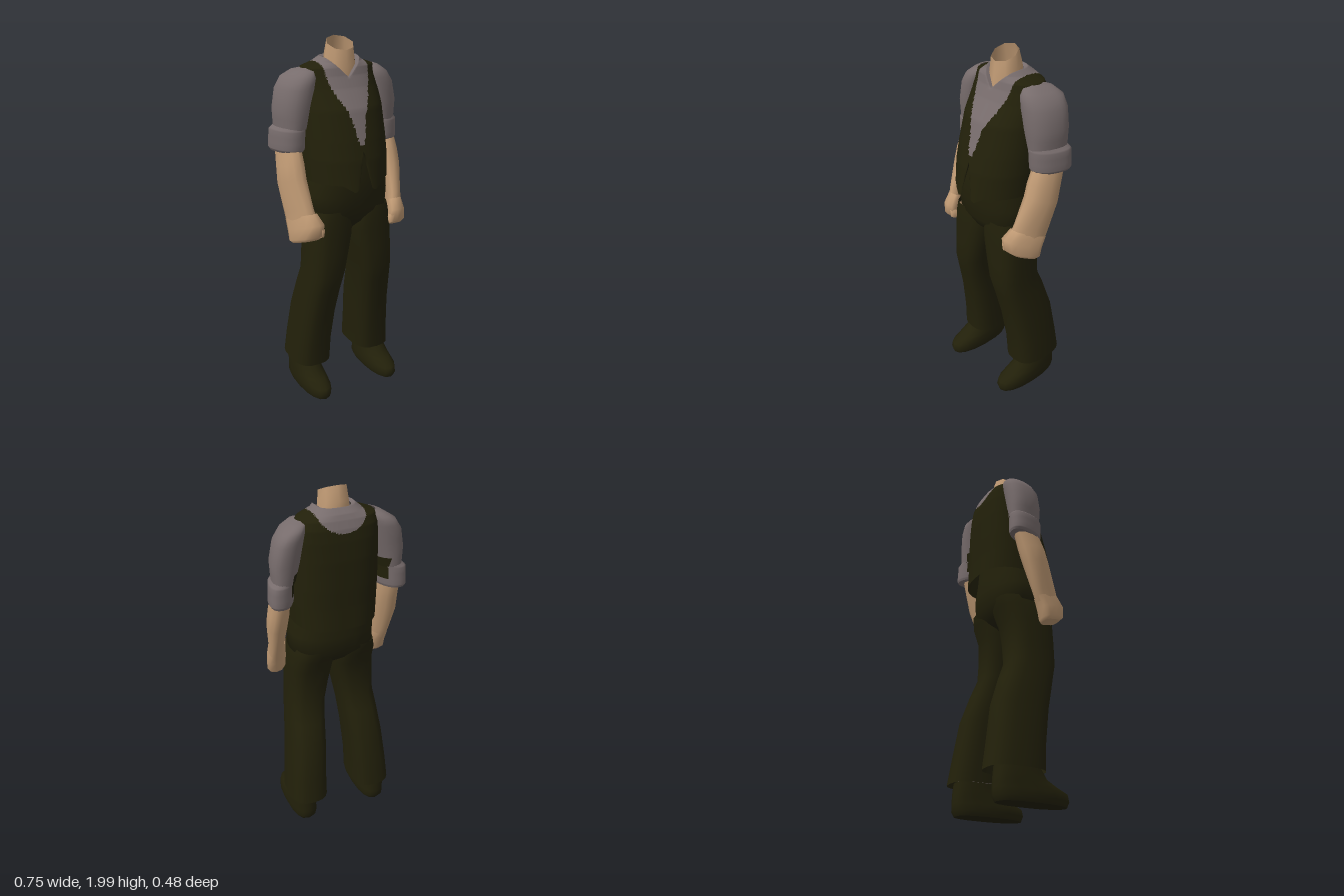
import * as THREE from 'three';

const mat = (name, color) => {
  const m = new THREE.MeshStandardMaterial({ color, side: THREE.DoubleSide });
  m.name = name;
  return m;
};

// Skin a stack of rings, lowest first:
// [y, xMin, xMax, zMin, zMax, slope of y along z, shift of x along z].
// power rounds or squares the rings, steps subdivides, adjust moves points in y and z,
// isSecond sends faces to the second material.
function loft(rings, { sides = 16, power = 2.3, frontPower = power, steps = 1, capBottom = false, capTop = false, adjust, isSecond } = {}) {
  const rows = [];
  rings.forEach((r, i) => {
    const next = rings[i + 1];
    if (!next) return rows.push(r);
    for (let s = 0; s < steps; s++) {
      rows.push([0, 1, 2, 3, 4, 5, 6].map(k => THREE.MathUtils.lerp(r[k] || 0, next[k] || 0, s / steps)));
    }
  });
  const pos = [];
  for (const [y, x0, x1, z0, z1, slope = 0, skew = 0] of rows) {
    for (let j = 0; j < sides; j++) {
      const a = (j / sides) * Math.PI * 2;
      const e = 2 / (Math.sin(a) > 0 ? frontPower : power);
      const squash = v => Math.sign(v) * Math.abs(v) ** e;
      const dz = squash(Math.sin(a)) * (z1 - z0) / 2;
      const x = (x0 + x1) / 2 + squash(Math.cos(a)) * (x1 - x0) / 2 + skew * dz;
      const z = (z0 + z1) / 2 + dz;
      const py = y + slope * dz;
      pos.push(x, ...(adjust ? adjust(x, py, z) : [py, z]));
    }
  }
  const lists = [[], []];
  const add = (...t) => {
    const mid = k => t.reduce((sum, v) => sum + pos[v * 3 + k], 0) / 3;
    lists[isSecond && isSecond(mid(0), mid(1), mid(2)) ? 1 : 0].push(...t);
  };
  for (let i = 0; i < rows.length - 1; i++) {
    for (let j = 0; j < sides; j++) {
      const k = (j + 1) % sides;
      const a = i * sides + j, b = i * sides + k, c = a + sides, d = b + sides;
      add(a, c, b);
      add(b, c, d);
    }
  }
  // Caps get their own points so the edge stays sharp
  const cap = (row, top) => {
    const base = pos.length / 3;
    const [y, x0, x1, z0, z1] = rows[row];
    pos.push(...pos.slice(row * sides * 3, (row + 1) * sides * 3));
    pos.push((x0 + x1) / 2, y, (z0 + z1) / 2);
    for (let j = 0; j < sides; j++) {
      const a = base + j, b = base + (j + 1) % sides;
      if (top) add(base + sides, b, a); else add(base + sides, a, b);
    }
  };
  if (capBottom) cap(0, false);
  if (capTop) cap(rows.length - 1, true);
  const g = new THREE.BufferGeometry();
  g.setAttribute('position', new THREE.Float32BufferAttribute(pos, 3));
  g.setIndex([...lists[0], ...lists[1]]);
  g.addGroup(0, lists[0].length, 0);
  g.addGroup(lists[0].length, lists[1].length, 1);
  g.computeVertexNormals();
  return g;
}

export function createModel() {
  const model = new THREE.Group();
  const cloth = mat('darkCloth', 0x22200a);
  const shirt = mat('greyShirt', 0x776c6c);
  const skin = mat('skin', 0xc09a74);

  // material is one material, or a pair when isSecond is given
  const part = (name, material, rings, options) => {
    const mesh = new THREE.Mesh(loft(rings, options), material);
    mesh.name = name;
    model.add(mesh);
  };
  // Ring symmetric about the middle
  const mid = (y, w, z0, z1, slope = 0) => [y, -w, w, z0, z1, slope];

  // Waistcoat with pointed hem, and the shirt showing at the neckline
  const neckline = [[1.48, 0.012], [1.52, 0.026], [1.6, 0.038], [1.66, 0.062], [1.71, 0.09], [1.78, 0.118], [1.85, 0.13], [2, 0.14]];
  const neckWidth = y => {
    if (y < neckline[0][0]) return 0;
    const i = neckline.findIndex(p => p[0] > y);
    const [a, b] = [neckline[i - 1], neckline[i]];
    return THREE.MathUtils.mapLinear(y, a[0], b[0], a[1], b[1]);
  };
  part('waistcoatAndShirtFront', [cloth, shirt], [
    mid(1.28, 0.225, -0.222, 0.237),
    mid(1.4, 0.23, -0.216, 0.222),
    mid(1.5, 0.23, -0.215, 0.197),
    mid(1.65, 0.225, -0.21, 0.152),
    mid(1.75, 0.22, -0.2, 0.092),
    mid(1.81, 0.215, -0.19, 0.065),
    mid(1.85, 0.2, -0.175, 0.055),
    mid(1.875, 0.13, -0.16, 0.047),
    mid(1.9, 0.1, -0.13, 0.042),
    mid(1.89, 0.083, -0.112, 0.035),
  ], {
    sides: 128, power: 2.7, frontPower: 2.2, steps: 9,
    adjust: (x, y, z) => {
      const ax = Math.abs(x);
      if (z > 0.1 && y < 1.46) {
        const point = Math.max(0, 1 - Math.abs(ax - 0.06) / 0.06) * Math.max(0, (1.4 - y) / 0.12);
        const hem = Math.max(y - 0.04 * point, 1.45 - ax * 5);
        return [hem, z + 0.2 * (y - hem)];
      }
      return [z > -0.03 && y > 1.8 ? Math.min(y, 1.8 + ax) : y, z];
    },
    isSecond: (x, y, z) => z > -0.05
      ? Math.abs(x) < neckWidth(y)
      : (x / 0.132) ** 2 + ((y - 1.9) / 0.11) ** 2 < 1,
  });

  // Open neck, its base lower at the front
  part('neck', skin, [
    mid(1.83, 0.088, -0.12, 0.052, -0.5),
    mid(1.89, 0.085, -0.115, 0.045, -0.4),
    mid(1.965, 0.076, -0.092, 0.035, -0.5),
  ], { sides: 8, power: 2 });

  // Hips of the trousers
  part('trouserHips', cloth, [
    mid(0.99, 0.03, -0.05, 0.09),
    mid(1.04, 0.16, -0.115, 0.145),
    mid(1.1, 0.235, -0.162, 0.175),
    mid(1.2, 0.235, -0.17, 0.19),
    mid(1.3, 0.22, -0.16, 0.195),
    mid(1.45, 0.2, -0.15, 0.18),
  ], { sides: 24, power: 2.4, capBottom: true });

  for (const [side, s] of [['left', 1], ['right', -1]]) {
    const sided = (name, material, rings, options) => part(side + name, material,
      rings.map(([y, x0, x1, z0, z1, slope = 0, skew = 0]) =>
        [y, s > 0 ? x0 : -x1, s > 0 ? x1 : -x0, z0, z1, slope, s * skew]), options);

    sided('TrouserLeg', cloth, [
      [0.165, 0.088, 0.31, -0.24, 0.07],
      [0.3, 0.085, 0.3, -0.22, 0.078],
      [0.5, 0.073, 0.28, -0.19, 0.11],
      [0.65, 0.06, 0.265, -0.14, 0.145],
      [0.75, 0.046, 0.255, -0.1, 0.168],
      [0.87, 0.022, 0.25, -0.098, 0.17],
      [0.98, 0.0, 0.245, -0.108, 0.17],
      [1.06, -0.005, 0.24, -0.142, 0.17],
      [1.12, 0.01, 0.225, -0.15, 0.165],
    ], { sides: 20, power: 2.8 });
    sided('Sock', shirt, [
      [0.17, 0.175, 0.265, -0.19, 0.02],
      [0.21, 0.175, 0.265, -0.19, 0.02],
    ], { capTop: true });
    sided('Shoe', cloth, [
      [0.008, 0.15, 0.292, -0.195, 0.192],
      [0.035, 0.14, 0.302, -0.21, 0.203],
      [0.07, 0.143, 0.3, -0.21, 0.195],
      [0.1, 0.145, 0.298, -0.208, 0.13],
      [0.13, 0.148, 0.296, -0.205, 0.075],
      [0.18, 0.152, 0.29, -0.2, 0.045],
    ], { power: 2.6, frontPower: 2.2, capBottom: true, capTop: true });

    // Short sleeve with a rolled cuff, dark under the arm towards the back
    const underArm = (x, y, z) => s * x < 0.265 && z < -0.06 && y > 1.47 && y < 1.6;
    sided('Sleeve', [shirt, cloth], [
      [1.55, 0.217, 0.345, -0.162, 0.034, 0, -0.2],
      [1.65, 0.19, 0.35, -0.168, 0.045, 0, -0.2],
      [1.75, 0.168, 0.33, -0.174, 0.046, 0, -0.2],
      [1.805, 0.158, 0.295, -0.17, 0.038, 0, -0.2],
      [1.838, 0.155, 0.245, -0.14, 0.012, 0, -0.15],
      [1.85, 0.16, 0.21, -0.1, -0.03],
    ], { sides: 24, steps: 2, isSecond: underArm });
    sided('RolledCuff', [shirt, cloth], [
      [1.43, 0.24, 0.36, -0.168, 0.022, 0, -0.25],
      [1.445, 0.232, 0.369, -0.173, 0.032, 0, -0.25],
      [1.54, 0.227, 0.364, -0.17, 0.036, 0, -0.25],
      [1.56, 0.222, 0.345, -0.16, 0.03, 0, -0.2],
    ], { sides: 24, steps: 3, capBottom: true, isSecond: underArm });

    // Bare forearm and closed hand, turned inward
    sided('Forearm', skin, [
      [1.07, 0.24, 0.335, -0.01, 0.15, 0.38, -0.4],
      [1.13, 0.25, 0.34, -0.035, 0.13, 0.38, -0.35],
      [1.28, 0.245, 0.363, -0.09, 0.075, 0.3, -0.25],
      [1.36, 0.242, 0.358, -0.115, 0.055, 0.2, -0.2],
      [1.44, 0.245, 0.35, -0.138, 0.025, 0.1, -0.2],
    ], { sides: 12, power: 2.2 });
    sided('Hand', skin, [
      [0.965, 0.235, 0.325, 0.03, 0.15, 0.33, -0.4],
      [0.985, 0.222, 0.338, 0.018, 0.178, 0.33, -0.4],
      [1.045, 0.222, 0.335, 0.004, 0.185, 0.36, -0.4],
      [1.1, 0.242, 0.335, -0.02, 0.14, 0.38, -0.4],
    ], { sides: 12, power: 2.8, capBottom: true });
    sided('Thumb', skin, [
      [0.995, 0.205, 0.24, 0.11, 0.175, 0.3],
      [1.03, 0.196, 0.25, 0.085, 0.18, 0.3],
      [1.08, 0.225, 0.27, 0.065, 0.145, 0.3],
    ], { sides: 8, capBottom: true, capTop: true });
  }
  return model;
}
